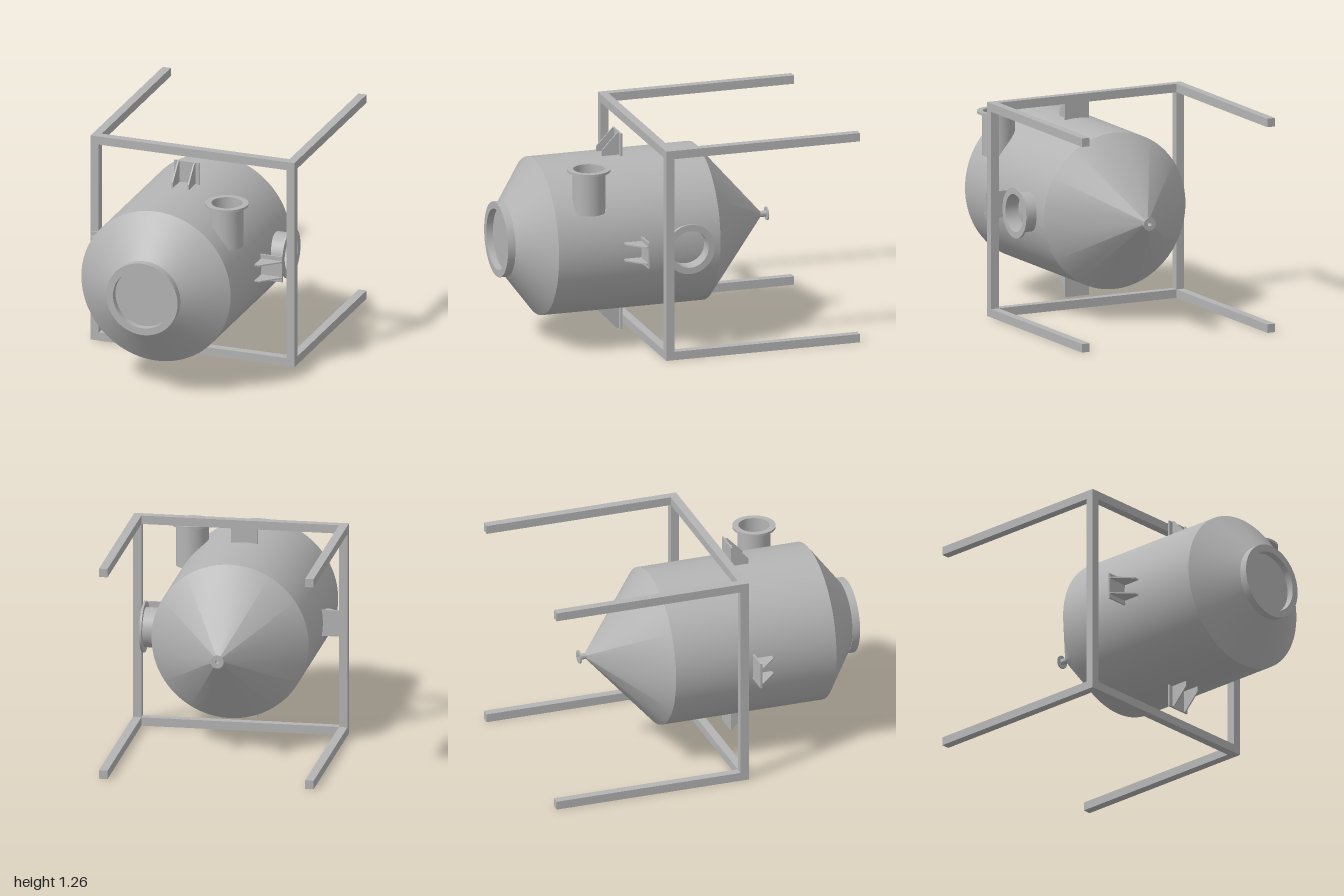
import * as THREE from 'three';
import { toCreasedNormals } from 'three/addons/utils/BufferGeometryUtils.js';

const AXIS_Y = 0.63;

export function createModel() {
  const model = new THREE.Group();
  model.name = 'vesselInFrame';
  const steel = new THREE.MeshStandardMaterial({ color: 0xb4b4b4 });
  steel.name = 'grey steel';

  const add = (parent, name, geometry) => {
    const mesh = new THREE.Mesh(geometry, steel);
    mesh.name = name;
    parent.add(mesh);
    return mesh;
  };
  const lathe = (points, segments = 64) => toCreasedNormals(
    new THREE.LatheGeometry(points.map(([r, y]) => new THREE.Vector2(r, y)), segments), 0.5);
  // box given by its minimum and maximum corners
  const box = (a, b) => new THREE.BoxGeometry(b[0] - a[0], b[1] - a[1], b[2] - a[2])
    .translate((a[0] + b[0]) / 2, (a[1] + b[1]) / 2, (a[2] + b[2]) / 2);
  // hollow pipe along y from 0 to length, ending in a flange
  const flangedPipe = (outer, inner, length, flangeRadius, flangeThickness, segments = 48) => lathe([
    [inner, 0], [outer, 0], [outer, length - flangeThickness], [flangeRadius, length - flangeThickness],
    [flangeRadius, length], [inner, length], [inner, 0],
  ], segments);

  // Tank shell with a conical end at the back and a truncated cone at the front
  const vessel = new THREE.Group();
  vessel.name = 'vessel';
  vessel.position.y = AXIS_Y;
  model.add(vessel);
  add(vessel, 'tankShell', lathe([
    [0, -0.6], [0.018, -0.6], [0.46, -0.21], [0.46, 0.77], [0.21, 0.96], [0, 0.96],
  ], 96).rotateX(Math.PI / 2));

  // Front manhole rim around the recessed end plate
  add(vessel, 'frontRim', lathe([
    [0.178, 0.955], [0.22, 0.955], [0.22, 1], [0.178, 1], [0.178, 0.955],
  ]).rotateX(Math.PI / 2));

  // Small drain at the tip of the rear cone
  add(vessel, 'rearDrain', flangedPipe(0.018, 0.012, 0.055, 0.039, 0.008, 32)
    .rotateX(-Math.PI / 2)).position.z = -0.59;

  // Side port on the left, and upright inlet
  add(vessel, 'sidePort', flangedPipe(0.116, 0.11, 0.105, 0.148, 0.012)
    .rotateZ(-Math.PI / 2)).position.x = 0.438;
  add(vessel, 'topInlet', flangedPipe(0.095, 0.09, 0.26, 0.125, 0.014))
    .position.set(0.355, 0.225, 0.555);

  // Four mounting lugs around the shell, each a plate with two gussets
  const gussetShape = new THREE.Shape([
    [0.445, 0.27], [0.588, 0.27], [0.588, 0.282], [0.49, 0.376], [0.445, 0.376],
  ].map(([x, y]) => new THREE.Vector2(x, y)));
  for (let i = 0; i < 4; i++) {
    const lug = new THREE.Group();
    lug.name = 'mountingLug';
    lug.rotation.z = i * Math.PI / 2;
    vessel.add(lug);
    add(lug, 'lugPlate', box([0.445, -0.078, 0.26], [0.588, 0.078, 0.271]));
    for (const side of [-1, 1]) {
      add(lug, 'lugGusset', new THREE.ExtrudeGeometry(gussetShape, { depth: 0.008, bevelEnabled: false })
        .rotateX(Math.PI / 2).translate(0, side * 0.049 + 0.004, 0));
    }
  }

  // Square frame with four long rails running to the back
  const frame = new THREE.Group();
  frame.name = 'supportFrame';
  model.add(frame);
  const W = 0.628, H = 1.26, T = 0.05, Z0 = 0.125, Z1 = 0.175;
  for (const y of [0, H - T]) {
    add(frame, 'crossBar', box([-W, y, Z0], [W, y + T, Z1]));
    for (const x of [-W, W - T]) add(frame, 'rearRail', box([x, y, -1], [x + T, y + T, Z0]));
  }
  for (const x of [-W, W - T]) add(frame, 'uprightPost', box([x, T, Z0], [x + T, H - T, Z1]));

  return model;
}
